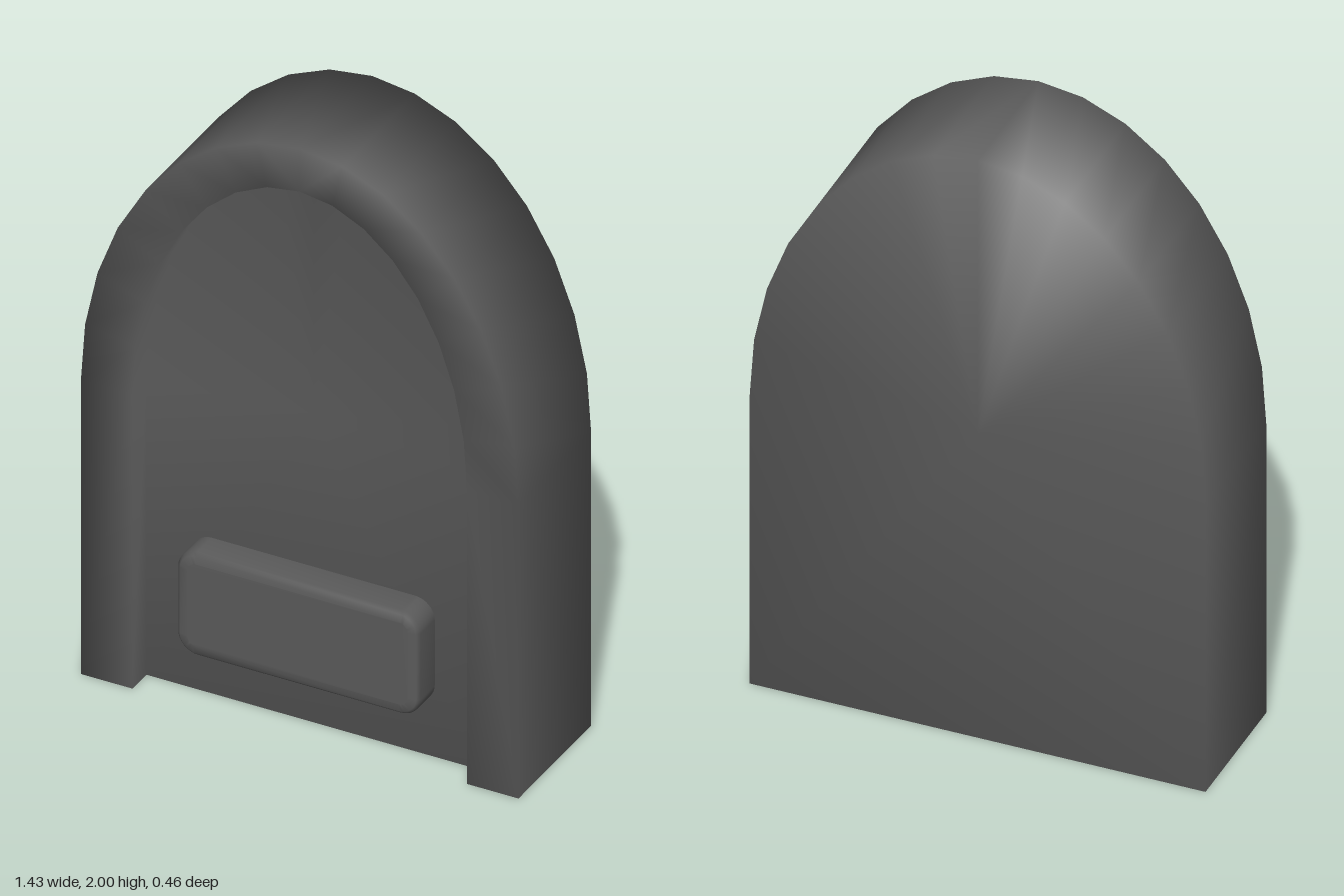
import * as THREE from 'three';
import { mergeVertices } from 'three/addons/utils/BufferGeometryUtils.js';

const BACK = -0.23, FLOOR = 0.13, FRONT = 0.215, PLATE = 0.23;
const STEPS = 16;

// Arch outline: straight sides up to y = 1, then half an ellipse
function archLoop(halfWidth, rise, z) {
  const pts = [[halfWidth, 0, z]];
  for (let i = 0; i <= STEPS; i++) {
    const a = (i / STEPS) * Math.PI;
    pts.push([halfWidth * Math.cos(a), 1 + rise * Math.sin(a), z]);
  }
  pts.push([-halfWidth, 0, z]);
  return pts;
}

// Arched slab with a raised rim around a recessed front, smoothed all over
function slabGeometry() {
  const loops = [
    archLoop(0.713, 1, BACK),
    archLoop(0.713, 1, FRONT),
    archLoop(0.545, 0.855, FRONT),
    archLoop(0.545, 0.855, FLOOR),
  ];
  const n = loops[0].length, last = n - 1;
  const id = (loop, i) => loop * n + i;
  const centres = [[0, 1.05, FLOOR], [0, 1.05, BACK], [0, 0, -0.05]];
  const [floorMid, backMid, baseMid] = [4 * n, 4 * n + 1, 4 * n + 2];
  const index = [];

  // outer wall, rim face, inner wall, with mirrored diagonals
  for (let l = 0; l < 3; l++) {
    for (let i = 0; i < last; i++) {
      const a = id(l, i), b = id(l, i + 1), c = id(l + 1, i + 1), d = id(l + 1, i);
      if (i < last / 2) index.push(a, b, c, a, c, d);
      else index.push(a, b, d, b, c, d);
    }
  }
  // recess floor and back face, fanned from their centres
  for (let i = 0; i < n; i++) {
    const j = (i + 1) % n;
    index.push(floorMid, id(3, i), id(3, j));
    index.push(backMid, id(0, j), id(0, i));
  }
  // underside
  const [b, f, g, h] = [0, 1, 2, 3].map((l) => id(l, 0));
  const [B, F, G, H] = [0, 1, 2, 3].map((l) => id(l, last));
  index.push(f, g, h, b, f, h, H, G, F, H, F, B);
  index.push(baseMid, b, h, baseMid, h, H, baseMid, H, B, baseMid, B, b);

  const geo = new THREE.BufferGeometry();
  const points = [...loops.flat(), ...centres].flat();
  geo.setAttribute('position', new THREE.Float32BufferAttribute(points, 3));
  geo.setIndex(index);
  geo.computeVertexNormals();
  return geo;
}

// Rounded rectangular plate with a shallow, softened front edge
function plateGeometry(w, h, r, depth) {
  const inset = 0.035, thick = 0.014;
  const x = w / 2 - inset, y = h / 2 - inset, c = r - inset;
  const s = new THREE.Shape();
  s.absarc(x - c, y - c, c, 0, Math.PI / 2);
  s.absarc(-x + c, y - c, c, Math.PI / 2, Math.PI);
  s.absarc(-x + c, -y + c, c, Math.PI, Math.PI * 1.5);
  s.absarc(x - c, -y + c, c, Math.PI * 1.5, Math.PI * 2);
  let geo = new THREE.ExtrudeGeometry(s, {
    depth: depth - 2 * thick, curveSegments: 4,
    bevelEnabled: true, bevelSize: inset, bevelThickness: thick, bevelSegments: 2,
  });
  geo.translate(0, 0, thick);
  geo.deleteAttribute('uv');
  geo.deleteAttribute('normal');
  geo = mergeVertices(geo, 1e-4);
  geo.computeVertexNormals();
  return geo;
}

export function createModel() {
  const group = new THREE.Group();
  group.name = 'archedHeadstone';
  const stone = new THREE.MeshStandardMaterial({ color: 0x5a5a5a });

  const slab = new THREE.Mesh(slabGeometry(), stone);
  slab.name = 'slab';
  group.add(slab);

  const back = FLOOR - 0.02;
  const plaque = new THREE.Mesh(plateGeometry(0.79, 0.35, 0.065, PLATE - back), stone);
  plaque.name = 'plaque';
  plaque.position.set(0, 0.355, back);
  group.add(plaque);

  return group;
}
